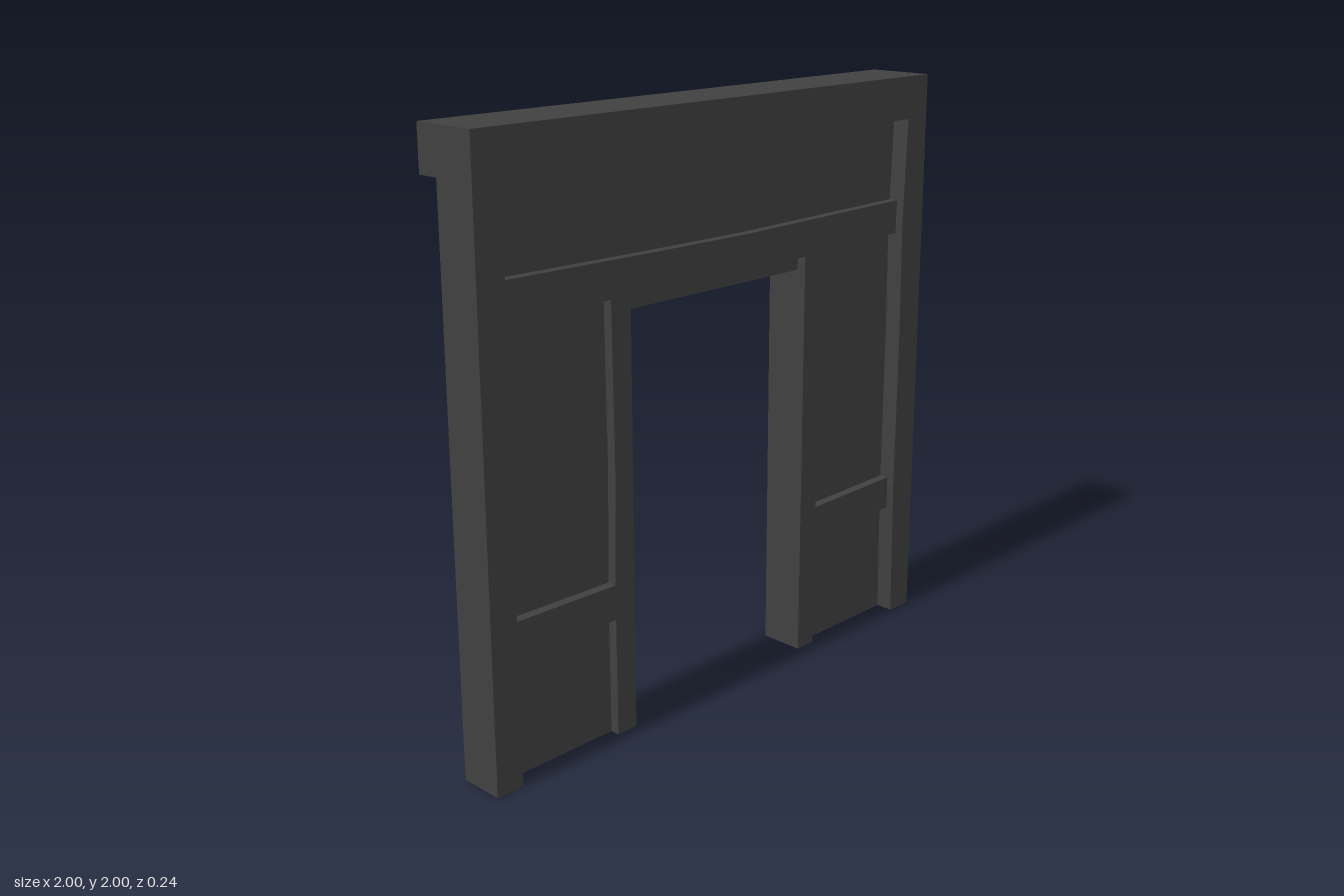
import * as THREE from 'three';

const material = new THREE.MeshStandardMaterial({ color: 0x404040, flatShading: true });

// Flat outline in x/y, given thickness from zBack to zFront
function slab(name, points, zBack, zFront) {
  const shape = new THREE.Shape(points.map(([x, y]) => new THREE.Vector2(x, y)));
  const geometry = new THREE.ExtrudeGeometry(shape, { depth: zFront - zBack, bevelEnabled: false });
  geometry.translate(0, 0, zBack);
  const mesh = new THREE.Mesh(geometry, material);
  mesh.name = name;
  return mesh;
}

// Mirror an outline in x, keeping its winding
const mirror = (points) => points.map(([x, y]) => [-x, y]).reverse();

export function createModel() {
  const group = new THREE.Group();
  group.name = 'doorwayWall';

  const back = -0.04, panel = 0.055, trim = 0.088, front = 0.117;
  const sag = [[-0.9, 1.86], [-0.25, 1.845], [0.4, 1.858], [0.9, 1.853]];

  // Wall panel with the door opening
  group.add(slab('wallPanel', [
    [-0.95, 0], [-0.4, 0], [-0.4, 1.39], [0.4, 1.39], [0.4, 0], [0.95, 0], [0.95, 1.95], [-0.95, 1.95],
  ], back, panel));

  // Outer frame: two posts and a top beam with a slightly uneven inner edge
  group.add(slab('outerFrame', [
    [-1, 0], [-0.9, 0], [-0.902, 0.6], [-0.893, 1.1], [-0.9, 1.5], ...sag,
    [0.887, 1.5], [0.893, 1.1], [0.89, 0.5], [0.9, 0], [1, 0], [1, 2], [-1, 2],
  ], back, front));

  // Cornice overhanging the back
  group.add(slab('backCornice', [[-1, 1.853], ...sag.slice(1, 3), [1, 1.85], [1, 2], [-1, 2]], -0.118, back));

  // Upper rail across the front
  group.add(slab('upperRail', [
    [-0.91, 1.452], [-0.4, 1.44], [0.4, 1.44], [0.91, 1.452], [0.91, 1.568], [0.1, 1.557], [-0.3, 1.56], [-0.91, 1.568],
  ], panel - 0.01, trim));

  const post = [[0.4, 0], [0.48, 0], [0.482, 0.5], [0.474, 0.9], [0.48, 1.45], [0.4, 1.45]];
  const midRail = [[0.47, 0.405], [0.91, 0.411], [0.91, 0.53], [0.47, 0.523]];
  for (const [side, flip] of [['left', (p) => p], ['right', mirror]]) {
    // Door post, proud of the panel on both faces
    group.add(slab(side + 'DoorPost', flip(post), -0.07, trim));
    // Middle rail
    group.add(slab(side + 'MiddleRail', flip(midRail), panel - 0.01, trim));
  }

  // Header board above the door at the back
  group.add(slab('backHeader', [
    [-0.53, 1.442], [0, 1.437], [0.53, 1.445], [0.53, 1.528], [0, 1.522], [-0.53, 1.528],
  ], -0.077, back + 0.01));

  return group;
}
